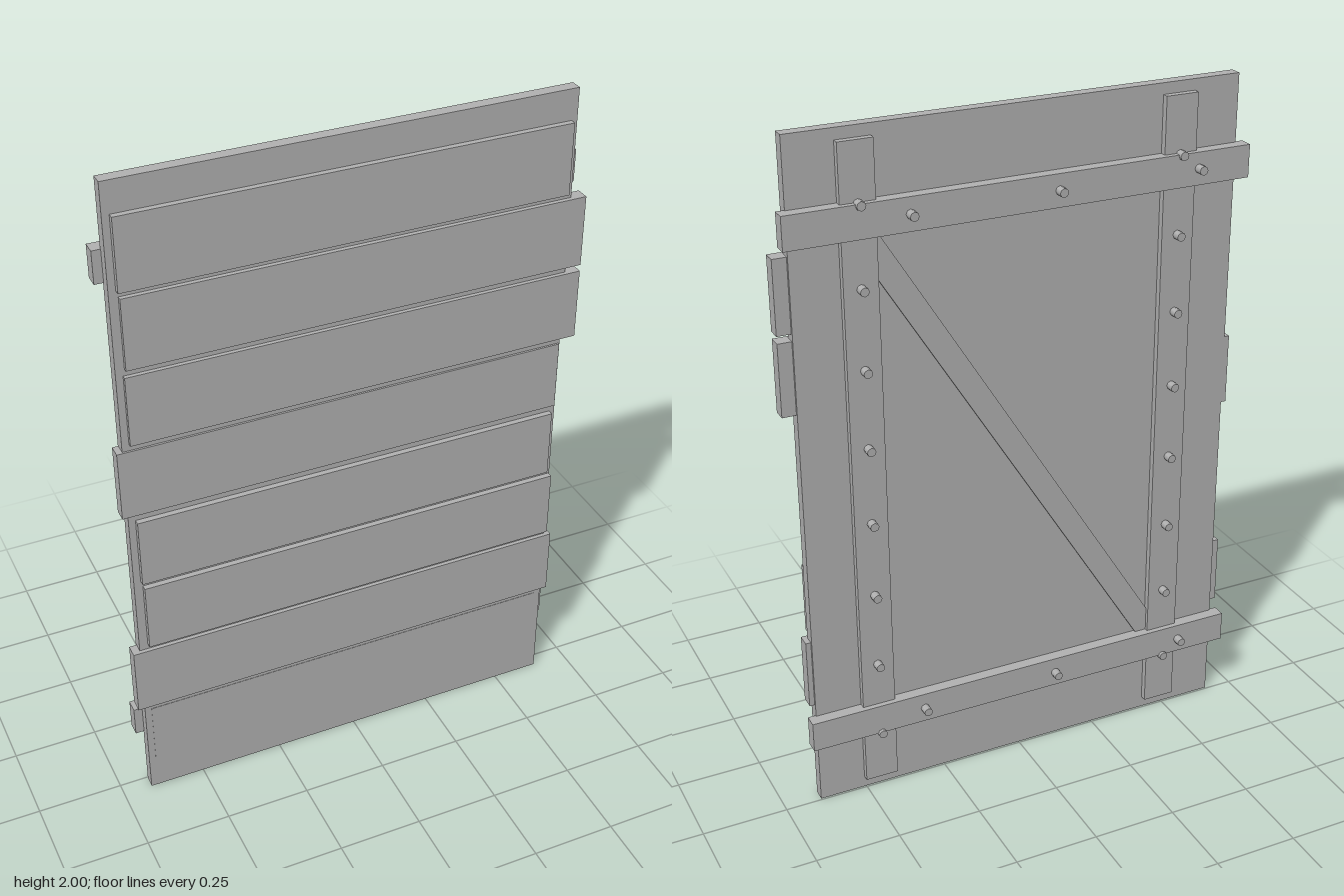
import * as THREE from 'three';

export function createModel() {
  const group = new THREE.Group();
  const grey = new THREE.MeshStandardMaterial({ color: 0xb2b2b2 });
  grey.name = 'plain grey';

  // Box given by its limits on each axis
  function slab(name, x0, x1, y0, y1, z0, z1) {
    const mesh = new THREE.Mesh(new THREE.BoxGeometry(x1 - x0, y1 - y0, z1 - z0), grey);
    mesh.position.set((x0 + x1) / 2, (y0 + y1) / 2, (z0 + z1) / 2);
    mesh.name = name;
    group.add(mesh);
    return mesh;
  }

  // Main door panel
  slab('panel', -0.665, 0.642, 0, 2, 0.005, 0.04);

  // Uneven front planks, top to bottom: left end, right end, bottom, front depth
  const planks = [
    [-0.645, 0.625, 1.70, 0.057],
    [-0.64, 0.682, 1.472, 0.053],
    [-0.645, 0.682, 1.242, 0.052],
    [-0.682, 0.638, 1.012, 0.046],
    [-0.645, 0.625, 0.783, 0.057],
    [-0.64, 0.64, 0.555, 0.057],
    [-0.687, 0.657, 0.327, 0.052],
    [-0.645, 0.62, 0.097, 0.041],
  ];
  planks.forEach(([x0, x1, y, z], i) =>
    slab('frontPlank' + (i + 1), x0, x1, y, y + 0.21, Math.max(z - 0.04, 0.008), z));

  // Upright battens on the back
  slab('rightBatten', -0.528, -0.43, 0.035, 1.968, -0.014, 0.01);
  slab('leftBatten', 0.407, 0.505, 0.035, 1.968, -0.014, 0.01);

  // Crossbars on the back
  slab('topCrossbar', -0.69, 0.665, 1.712, 1.806, -0.03, 0.01);
  slab('bottomCrossbar', -0.69, 0.665, 0.2, 0.292, -0.03, 0.01);

  // Diagonal brace between the crossbars
  const brace = slab('diagonalBrace', -0.94, 0.94, -0.035, 0.035, -0.003, 0.02);
  brace.position.set(0, 0.997, 0.0085);
  brace.rotation.z = Math.atan(1.62);

  // Bolts pointing backwards
  const boltShape = new THREE.CylinderGeometry(0.013, 0.013, 0.045, 8).rotateX(Math.PI / 2);
  function bolt(x, y, back) {
    const mesh = new THREE.Mesh(boltShape, grey);
    mesh.position.set(x, y, back + 0.0225);
    mesh.name = 'bolt';
    group.add(mesh);
  }
  for (const y of [1.76, 0.245])
    for (const x of [-0.53, -0.105, 0.32]) bolt(x, y, -0.057);
  for (const x of [-0.478, 0.456])
    for (const y of [1.803, 1.573, 1.344, 1.115, 0.886, 0.657, 0.428, 0.199]) bolt(x, y, -0.04);

  return group;
}
